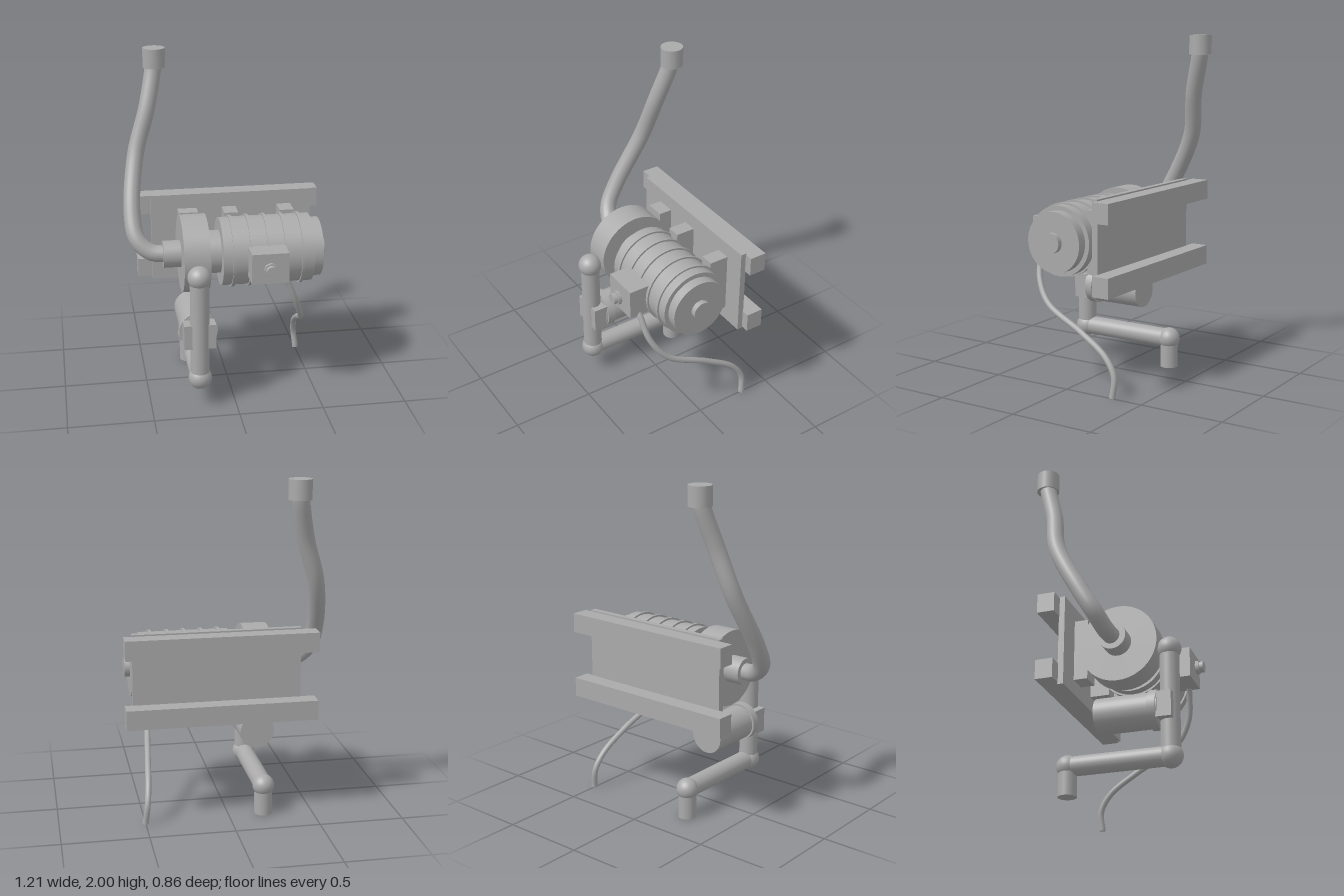
import * as THREE from 'three';

export function createModel() {
  const root = new THREE.Group();
  const grey = new THREE.MeshStandardMaterial({ color: 0xaaaaaa });
  grey.name = 'grey metal';

  const add = (name, geometry) => {
    const mesh = new THREE.Mesh(geometry, grey);
    mesh.name = name;
    root.add(mesh);
    return mesh;
  };
  // Box given by its extents along each axis
  const box = (name, [x0, x1], [y0, y1], [z0, z1]) =>
    add(name, new THREE.BoxGeometry(x1 - x0, y1 - y0, z1 - z0))
      .position.set((x0 + x1) / 2, (y0 + y1) / 2, (z0 + z1) / 2);
  // Cylinder between two points
  const rod = (name, a, b, r, sides = 32) => {
    const p = new THREE.Vector3(...a), q = new THREE.Vector3(...b);
    const d = q.clone().sub(p);
    const mesh = add(name, new THREE.CylinderGeometry(r, r, d.length(), sides));
    mesh.position.copy(p).add(q).multiplyScalar(0.5);
    mesh.quaternion.setFromUnitVectors(new THREE.Vector3(0, 1, 0), d.normalize());
  };
  const ball = (name, p, r) =>
    add(name, new THREE.SphereGeometry(r, 24, 16)).position.set(...p);
  const tube = (name, points, r, sides) => {
    const curve = new THREE.CatmullRomCurve3(points.map(p => new THREE.Vector3(...p)));
    add(name, new THREE.TubeGeometry(curve, 64, r, sides));
  };

  // Mounting plate, rails and brackets
  box('mountingPlate', [-0.43, 0.555], [0.585, 1.127], [-0.25, -0.215]);
  box('upperRail', [-0.515, 0.603], [1.002, 1.118], [-0.35, -0.247]);
  box('lowerRail', [-0.515, 0.603], [0.594, 0.71], [-0.35, -0.247]);
  box('pumpBracket', [-0.27, -0.153], [0.67, 1.038], [-0.22, -0.133]);
  for (const x of [0.002, 0.342])
    box('motorBracket', [x, x + 0.085], [0.67, 1.038], [-0.22, -0.097]);

  // Pump and motor: coaxial drums along x
  const AY = 0.855, AZ = 0.055;
  const drum = (name, x0, x1, r, sides = 48) => rod(name, [x0, AY, AZ], [x1, AY, AZ], r, sides);
  drum('pumpInlet', -0.39, -0.28, 0.08, 32);
  drum('pumpHousing', -0.287, -0.133, 0.23);
  drum('coupling', -0.14, -0.05, 0.128);
  drum('motorBody', -0.055, 0.485, 0.203);
  drum('motorEndCap', 0.48, 0.543, 0.176);
  drum('shaftCover', 0.54, 0.575, 0.058, 24);
  for (let i = 0; i < 5; i++) {
    const x = 0.01 + i * 0.102;
    drum('coolingRib', x - 0.009, x + 0.009, 0.214);
  }

  // Terminal box with its gland
  box('terminalBox', [0.089, 0.306], [0.763, 0.946], [0.2, 0.373]);
  rod('glandNut', [0.197, AY, 0.384], [0.197, AY, 0.404], 0.043, 8);
  rod('glandCap', [0.197, AY, 0.404], [0.197, AY, 0.43], 0.033, 20);

  // Rising hose and its end fitting
  tube('risingHose', [
    [-0.35, 0.855, 0.055], [-0.46, 0.868, 0.04], [-0.535, 0.94, 0.005],
    [-0.555, 1.08, -0.075], [-0.513, 1.39, -0.235], [-0.435, 1.656, -0.292],
    [-0.387, 1.88, -0.355], [-0.38, 1.95, -0.363],
  ], 0.05, 20);
  rod('hoseFitting', [-0.38, 1.885, -0.363], [-0.38, 2, -0.363], 0.067, 20);

  // Lower pipework with ball elbows
  const PX = -0.21, PZ = 0.336, BZ = -0.263, PY = 0.175;
  rod('verticalPipe', [PX, PY, PZ], [PX, 0.81, PZ], 0.056);
  rod('horizontalPipe', [PX, PY, PZ], [PX, PY, BZ], 0.056);
  rod('drainPipe', [PX, 0, BZ], [PX, PY, BZ], 0.053);
  ball('upperElbow', [PX, 0.81, PZ], 0.069);
  ball('lowerElbow', [PX, PY, PZ], 0.069);
  ball('rearElbow', [PX, PY, BZ], 0.065);

  // Filter hung on the vertical pipe
  rod('filterBowl', [PX, 0.448, -0.083], [PX, 0.448, 0.285], 0.103);
  rod('filterCollar', [PX, 0.448, 0.232], [PX, 0.448, 0.28], 0.114);
  box('filterHead', [-0.305, -0.117], [0.373, 0.523], [0.277, 0.367]);

  // Supply cable
  tube('supplyCable', [
    [0.285, 0.78, 0.31], [0.31, 0.74, 0.305], [0.37, 0.6, 0.28], [0.42, 0.465, 0.185],
    [0.455, 0.335, -0.07], [0.475, 0.22, -0.25], [0.488, 0.12, -0.315], [0.502, 0.005, -0.312],
  ], 0.018, 12);
  // Close the cable's free end
  rod('cableTip', [0.5, 0.025, -0.313], [0.502, 0.004, -0.312], 0.0185, 12);

  return root;
}
